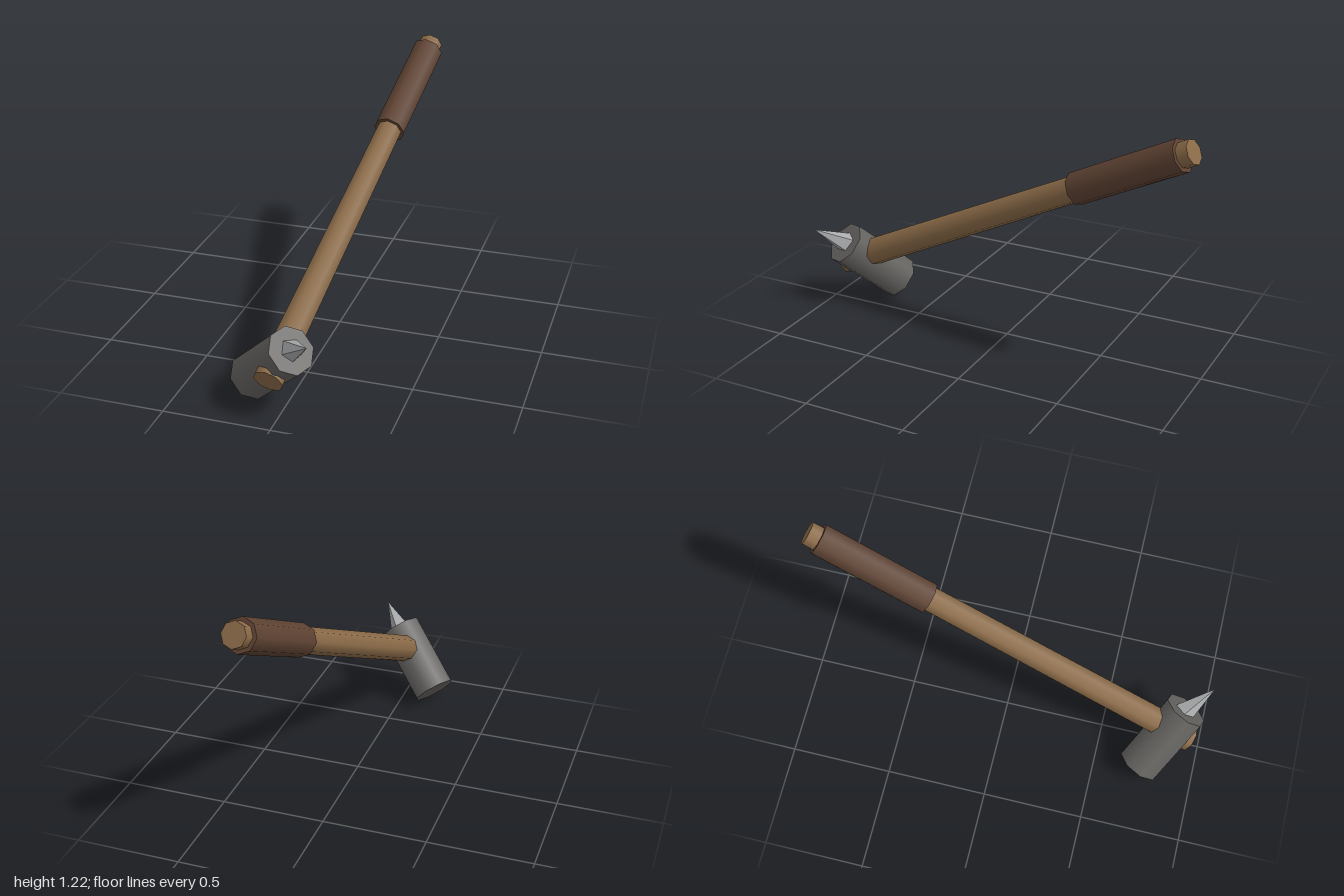
import * as THREE from 'three';

const V = (x, y, z) => new THREE.Vector3(x, y, z);

// Faceted rod running from one point to another; "ref" sets where its first corner points.
function rod(name, from, to, rFrom, rTo, sides, ref, material) {
  const axis = to.clone().sub(from);
  const geo = new THREE.CylinderGeometry(rTo, rFrom, axis.length(), sides);
  const y = axis.clone().normalize();
  const z = ref.clone().addScaledVector(y, -ref.dot(y)).normalize();
  const x = y.clone().cross(z);
  const mesh = new THREE.Mesh(geo, material);
  mesh.name = name;
  mesh.quaternion.setFromRotationMatrix(new THREE.Matrix4().makeBasis(x, y, z));
  mesh.position.copy(from).add(to).multiplyScalar(0.5);
  return mesh;
}

function mat(name, color) {
  const m = new THREE.MeshStandardMaterial({ color });
  m.name = name;
  return m;
}

export function createModel() {
  const wood = mat('wood', 0x8b6b48);
  const leather = mat('leather', 0x5f4333);
  const iron = mat('iron', 0x666461);
  const steel = mat('steel', 0xa9abad);
  steel.flatShading = true;

  const group = new THREE.Group();
  group.name = 'hammer';

  // Tapered shaft with a leather wrap near its upper end
  const foot = V(-0.029, 0.206, 0.935);
  const butt = V(0.19, 1.17, -0.967);
  const along = (t) => foot.clone().lerp(butt, t);
  const side = V(1, 0, 0);
  group.add(rod('handle', foot, butt, 0.07, 0.059, 8, side, wood));
  group.add(rod('grip', along(0.705), along(0.974), 0.078, 0.078, 8, side, leather));

  // Head set across the shaft
  const centre = V(-0.061, 0.216, 0.806);
  const axis = V(0.627, 0.663, 0.409).normalize();
  const face = centre.clone().addScaledVector(axis, 0.195);
  const back = centre.clone().addScaledVector(axis, -0.195);
  const corner = V(0.085, -0.07, -0.017);
  group.add(rod('head', back, face, 0.111, 0.111, 8, corner, iron));

  // Leaning spike, its base sunk into the face of the head
  const tip = V(0.169, 0.437, 0.998);
  const root = face.clone().lerp(tip, -0.08);
  group.add(rod('spike', root, tip, 0.056, 0, 5, V(-0.5, -0.1, 0.5), steel));

  return group;
}
